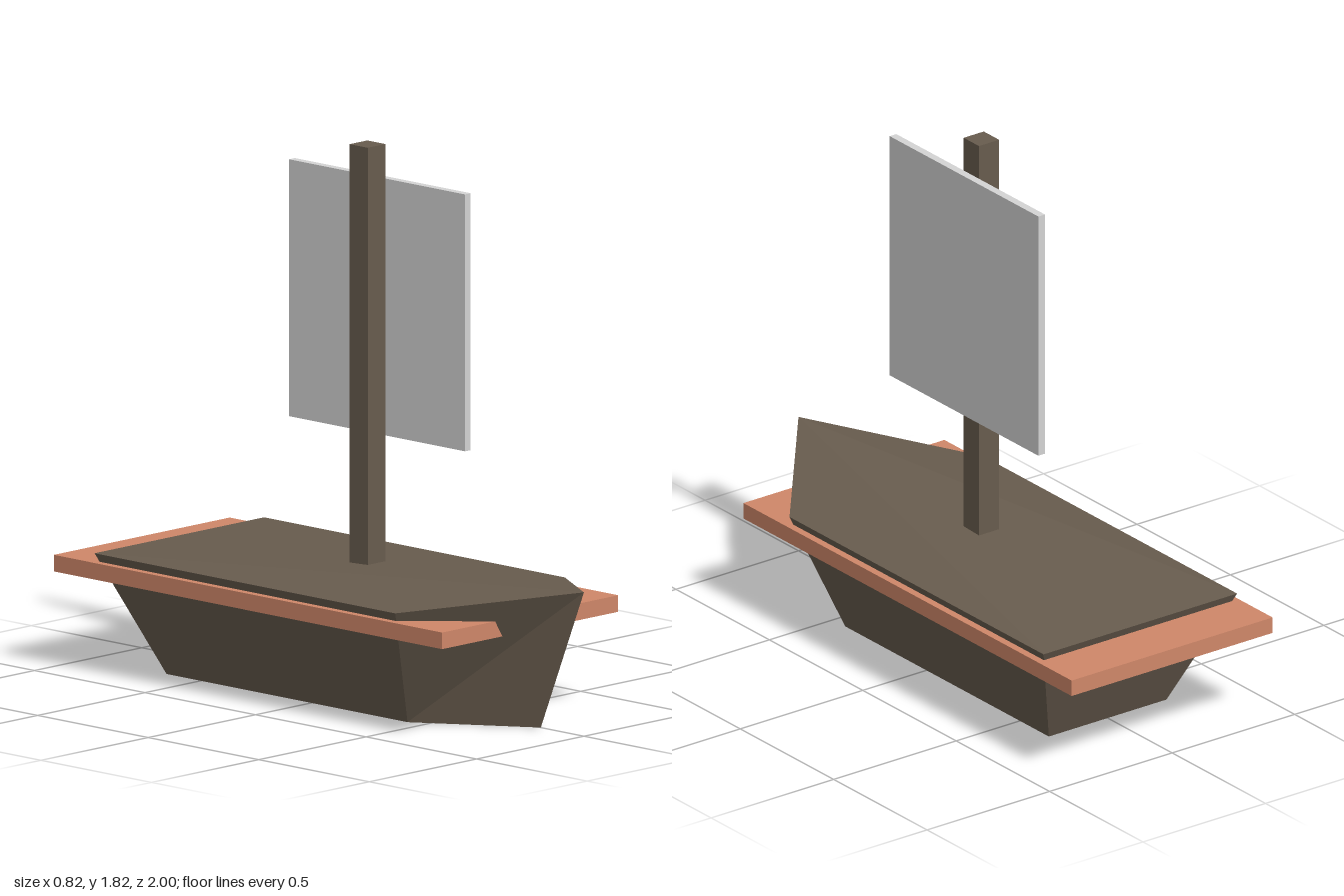
import * as THREE from 'three';

const wood = new THREE.MeshStandardMaterial({ color: 0x685c4e, flatShading: true });
wood.name = 'darkWood';
const trim = new THREE.MeshStandardMaterial({ color: 0xcf8769 });
trim.name = 'terracotta';
const cloth = new THREE.MeshStandardMaterial({ color: 0xd4d4d4 });
cloth.name = 'sailCloth';

// Box given by its minimum and maximum corners
function box(name, material, [x0, y0, z0], [x1, y1, z1]) {
  const mesh = new THREE.Mesh(new THREE.BoxGeometry(x1 - x0, y1 - y0, z1 - z0), material);
  mesh.position.set((x0 + x1) / 2, (y0 + y1) / 2, (z0 + z1) / 2);
  mesh.name = name;
  return mesh;
}

// Hull: two five-sided outlines (keel below, deck above) joined by side walls
function hullGeometry() {
  const outline = (w, stern, shoulder, bow, y, bowY) => [
    [0, bowY, bow], [w, y, shoulder], [w, y, stern], [-w, y, stern], [-w, y, shoulder],
  ];
  const keel = outline(0.24, -0.655, 0.435, 0.805, 0, 0);
  const deck = outline(0.395, -0.83, 0.53, 1, 0.398, 0.477);
  const points = [];
  const n = keel.length;
  for (let i = 0; i < n; i++) {
    const j = (i + 1) % n;
    points.push(keel[i], keel[j], deck[j], keel[i], deck[j], deck[i]);
  }
  // Deck and bottom fan out from the bow
  for (let i = 1; i < n - 1; i++) {
    points.push(deck[0], deck[i], deck[i + 1]);
    points.push(keel[0], keel[i + 1], keel[i]);
  }
  const geometry = new THREE.BufferGeometry();
  geometry.setAttribute('position', new THREE.Float32BufferAttribute(points.flat(), 3));
  geometry.computeVertexNormals();
  return geometry;
}

export function createModel() {
  const boat = new THREE.Group();
  boat.name = 'sailboat';

  const hull = new THREE.Mesh(hullGeometry(), wood);
  hull.name = 'hull';
  boat.add(hull);

  // Flat board running through the hull as a rail
  boat.add(box('railBoard', trim, [-0.41, 0.315, -1], [0.41, 0.37, 0.757]));
  boat.add(box('mast', wood, [-0.041, 0.35, -0.02], [0.041, 1.82, 0.062]));
  boat.add(box('sail', cloth, [0.043, 0.853, -0.376], [0.07, 1.705, 0.42]));
  return boat;
}
